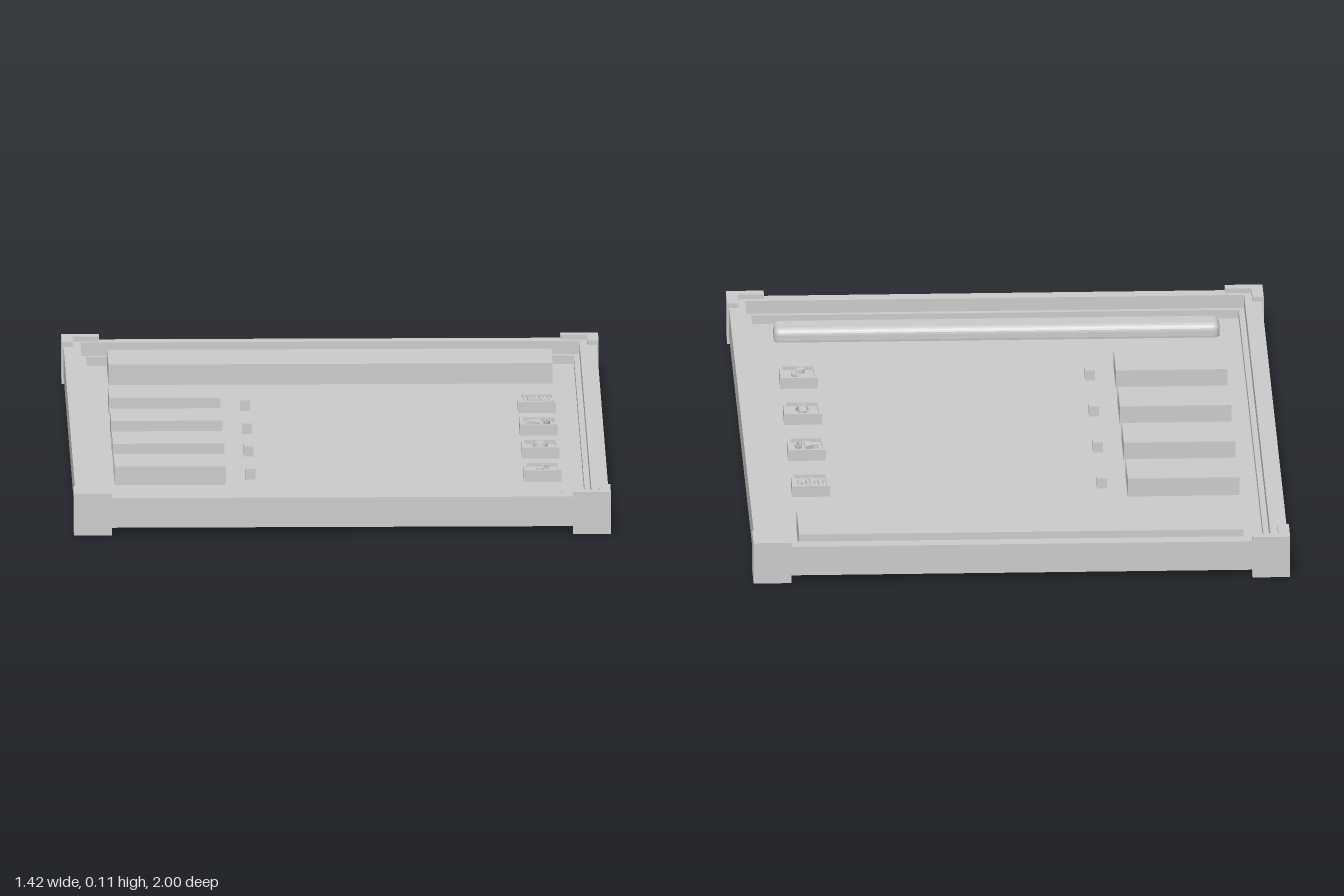
import * as THREE from 'three';
import { RoundedBoxGeometry } from 'three/addons/geometries/RoundedBoxGeometry.js';

const FLOOR = 0.04;
const material = new THREE.MeshStandardMaterial({ color: 0xcccccc, flatShading: true });

function add(parent, name, geometry, x = 0, y = 0, z = 0) {
  const mesh = new THREE.Mesh(geometry, material);
  mesh.name = name;
  mesh.position.set(x, y, z);
  parent.add(mesh);
  return mesh;
}

// Box given by its extents
function block(parent, name, x0, x1, y0, y1, z0, z1) {
  return add(parent, name, new THREE.BoxGeometry(x1 - x0, y1 - y0, z1 - z0),
    (x0 + x1) / 2, (y0 + y1) / 2, (z0 + z1) / 2);
}

function rectPoints(hx, hz) {
  return [[-hx, -hz], [hx, -hz], [hx, hz], [-hx, hz]].map(p => new THREE.Vector2(...p));
}

// Plan outline (x, up = -z) raised to a slab of the given height
function slab(shape, height) {
  return new THREE.ExtrudeGeometry(shape, { depth: height, bevelEnabled: false, curveSegments: 10 })
    .rotateX(-Math.PI / 2);
}

// Rectangular ring standing on y = 0
function ring(outX, outZ, inX, inZ, height) {
  const shape = new THREE.Shape(rectPoints(outX, outZ));
  shape.holes.push(new THREE.Path(rectPoints(inX, inZ).reverse()));
  return slab(shape, height);
}

function polygon(points) {
  return new THREE.Shape(points.map(p => new THREE.Vector2(...p)));
}

function disc(x, y, r) {
  return new THREE.Shape().absellipse(x, y, r, r, 0, Math.PI * 2, false, 0);
}

// Curved stroke between two radii
function arcBand(x, y, r, w, a0, a1) {
  const s = new THREE.Shape();
  s.absarc(x, y, r + w, a0, a1, false);
  s.absarc(x, y, r, a1, a0, true);
  return s;
}

function bar(x, y, w, h) {
  return polygon([[x - w / 2, y - h / 2], [x + w / 2, y - h / 2], [x + w / 2, y + h / 2], [x - w / 2, y + h / 2]]);
}

// Pictograms in plan: sound wave, speaker, microphone, music note
const pictograms = {
  soundWave: [0.012, 0.028, 0.016, 0.044, 0.024, 0.05, 0.014].map((h, i) => bar((i - 3) * 0.011, 0, 0.005, h)),
  speaker: [
    polygon([[-0.032, -0.01], [-0.018, -0.01], [0.004, -0.026], [0.004, 0.026], [-0.018, 0.01], [-0.032, 0.01]]),
    arcBand(0.004, 0, 0.012, 0.004, -0.9, 0.9),
    arcBand(0.004, 0, 0.022, 0.004, -0.9, 0.9),
  ],
  microphone: [
    (() => {
      const s = new THREE.Shape();
      s.absarc(0, 0.02, 0.01, 0, Math.PI, false);
      s.absarc(0, 0, 0.01, Math.PI, Math.PI * 2, false);
      return s;
    })(),
    arcBand(0, 0, 0.015, 0.004, Math.PI, Math.PI * 2),
    bar(0, -0.025, 0.004, 0.013),
    bar(0, -0.032, 0.022, 0.004),
  ],
  musicNote: [
    disc(-0.006, -0.021, 0.011),
    bar(0.003, 0.006, 0.005, 0.054),
    polygon([[0.005, 0.033], [0.005, 0.021], [0.018, 0.008], [0.018, 0.018]]),
  ],
};

export function createModel() {
  const model = new THREE.Group();
  model.name = 'panelBoard';

  // Base board, raised rim and the lower trim inside it
  block(model, 'baseBoard', -0.7, 0.7, 0.02, FLOOR, -0.985, 0.985);
  add(model, 'rim', ring(0.705, 0.995, 0.66, 0.955, 0.08), 0, 0.02);
  add(model, 'innerTrim', ring(0.661, 0.956, 0.645, 0.94, 0.025), 0, FLOOR - 0.001);

  // L-shaped corner guards, also serving as feet
  for (const sx of [-1, 1]) for (const sz of [-1, 1]) {
    const outline = [[0, 0], [0.1, 0], [0.1, 0.03], [0.03, 0.03], [0.03, 0.1], [0, 0.1]]
      .map(([a, b]) => [sx * (0.71 - a), -sz * (1 - b)]);
    add(model, 'cornerGuard', slab(polygon(outline), 0.113));
  }

  // Header plate at the back and rounded rail at the front
  block(model, 'headerPlate', -0.59, 0.585, FLOOR, 0.095, -0.885, -0.7);
  add(model, 'frontRail', new RoundedBoxGeometry(1.18, 0.05, 0.085, 3, 0.018), 0, FLOOR + 0.012, 0.833);

  // Four rows: label plate, indicator cube and pictogram tile
  Object.entries(pictograms).forEach(([name, shapes], i) => {
    const z = -0.382 + i * 0.286;
    const row = new THREE.Group();
    row.name = 'controlRow';
    row.position.z = z;
    model.add(row);
    block(row, 'labelPlate', -0.595, -0.3, FLOOR, 0.09, -0.078, 0.078);
    block(row, 'indicator', -0.247, -0.221, FLOOR, FLOOR + 0.028, -0.013, 0.013);

    const tile = new THREE.Group();
    tile.name = name + 'Tile';
    tile.position.set(0.537, FLOOR, 0);
    row.add(tile);
    block(tile, 'tileBase', -0.049, 0.049, 0, 0.02, -0.049, 0.049);
    add(tile, 'tileBorder', ring(0.05, 0.05, 0.041, 0.041, 0.03));
    add(tile, name, slab(shapes, 0.012), 0, 0.019);
  });

  return model;
}
